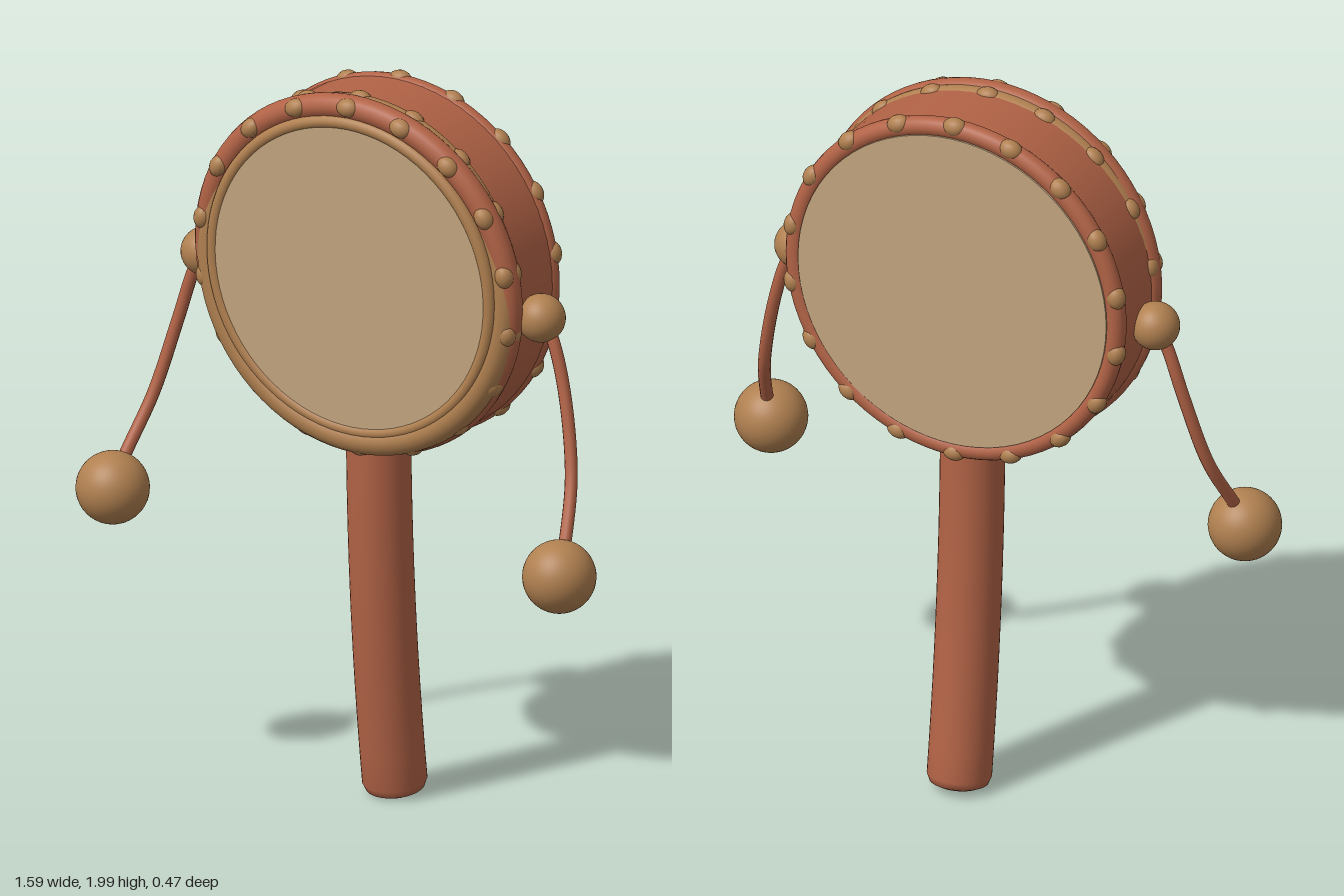
import * as THREE from 'three';

const material = (name, color) => {
  const m = new THREE.MeshStandardMaterial({ color });
  m.name = name;
  return m;
};

export function createModel() {
  const redWood = material('red wood', 0xb26346);
  const tan = material('tan wood', 0xb08050);
  const skin = material('drum skin', 0xc4a680);
  const model = new THREE.Group();

  const add = (parent, name, geometry, mat, x = 0, y = 0, z = 0) => {
    const mesh = new THREE.Mesh(geometry, mat);
    mesh.name = name;
    mesh.position.set(x, y, z);
    parent.add(mesh);
    return mesh;
  };

  // Drum parts share one centre; each hoop may lean about the x axis
  const drum = new THREE.Group();
  drum.name = 'drum';
  drum.position.y = 1.49;
  model.add(drum);

  const disc = (r, depth) => new THREE.CylinderGeometry(r, r, depth, 72).rotateX(Math.PI / 2);
  const studShape = new THREE.SphereGeometry(0.03, 16, 12);

  function hoop(name, mat, R, tube, z, lean, studs) {
    const group = new THREE.Group();
    group.name = name;
    group.position.z = z;
    group.rotation.x = lean;
    add(group, name + 'Ring', new THREE.TorusGeometry(R, tube, 16, 80), mat);
    if (studs) {
      for (let i = 0; i < 18; i++) {
        const a = Math.PI / 2 + (i / 18) * Math.PI * 2;
        const s = add(group, name + 'Stud', studShape, tan,
          Math.cos(a) * studs.r, Math.sin(a) * studs.r, studs.z);
        s.rotation.z = a;
        s.scale.set(0.85, 1.1, 0.85);
      }
    }
    drum.add(group);
  }

  add(drum, 'body', disc(0.49, 0.2), redWood, 0, 0, -0.07);
  hoop('backHoop', redWood, 0.47, 0.027, -0.163, 0, { r: 0.481, z: -0.008 });
  hoop('frontHoop', redWood, 0.47, 0.034, 0.032, 0.07, { r: 0.476, z: 0.02 });
  hoop('lowerHoop', tan, 0.456, 0.04, 0.034, 0, { r: 0.48, z: -0.008 });
  hoop('skinLip', tan, 0.43, 0.018, 0.068, 0.035);

  // Skins
  add(drum, 'backSkin', disc(0.452, 0.05), skin, 0, 0, -0.163);
  const front = add(drum, 'frontSkin', disc(0.432, 0.05), skin, 0, -0.01, 0.055);
  front.rotation.x = 0.035;

  // Handle: a turned rod bent backwards towards its foot
  const profile = [[0, 0.03], [0.025, 0.03], [0.04, 0.012], [0.062, 0.012], [0.078, 0.02], [0.086, 0.04]]
    .map(([r, y]) => new THREE.Vector2(r, y));
  for (let i = 1; i <= 12; i++) profile.push(new THREE.Vector2(0.086, 0.04 + i * 0.085));
  const rod = new THREE.LatheGeometry(profile, 40);
  const p = rod.attributes.position;
  for (let i = 0; i < p.count; i++) {
    const y = p.getY(i), z = p.getZ(i), t = 1 - y;
    const slope = 0.015 + 0.14 * t;
    p.setY(i, y - z * slope);
    p.setZ(i, z - 0.065 - 0.015 * t - 0.07 * t * t);
  }
  rod.computeVertexNormals();
  // Weld the normals where the lathe closes
  const n = rod.attributes.normal, rows = profile.length;
  for (let j = 0; j < rows; j++) {
    const k = 40 * rows + j;
    const v = new THREE.Vector3().fromBufferAttribute(n, j)
      .add(new THREE.Vector3().fromBufferAttribute(n, k)).normalize();
    n.setXYZ(j, v.x, v.y, v.z);
    n.setXYZ(k, v.x, v.y, v.z);
  }
  add(model, 'handle', rod, redWood);

  // Side beads, cords and striking balls
  for (const [side, s] of [['left', 1], ['right', -1]]) {
    add(model, side + 'Bead', new THREE.SphereGeometry(0.065, 32, 20), tan, s * 0.523, 1.44, -0.038);
    const path = new THREE.CatmullRomCurve3([
      [0.53, 1.44, -0.04], [0.56, 1.38, -0.04], [0.602, 1.24, -0.03],
      [0.65, 1.04, 0.015], [0.682, 0.9, 0.092], [0.692, 0.84, 0.13],
    ].map(([x, y, z]) => new THREE.Vector3(s * x, y, z)));
    add(model, side + 'Cord', new THREE.TubeGeometry(path, 40, 0.017, 12), redWood);
    add(model, side + 'Ball', new THREE.SphereGeometry(0.098, 40, 28), tan, s * 0.695, 0.805, 0.145);
  }

  return model;
}
